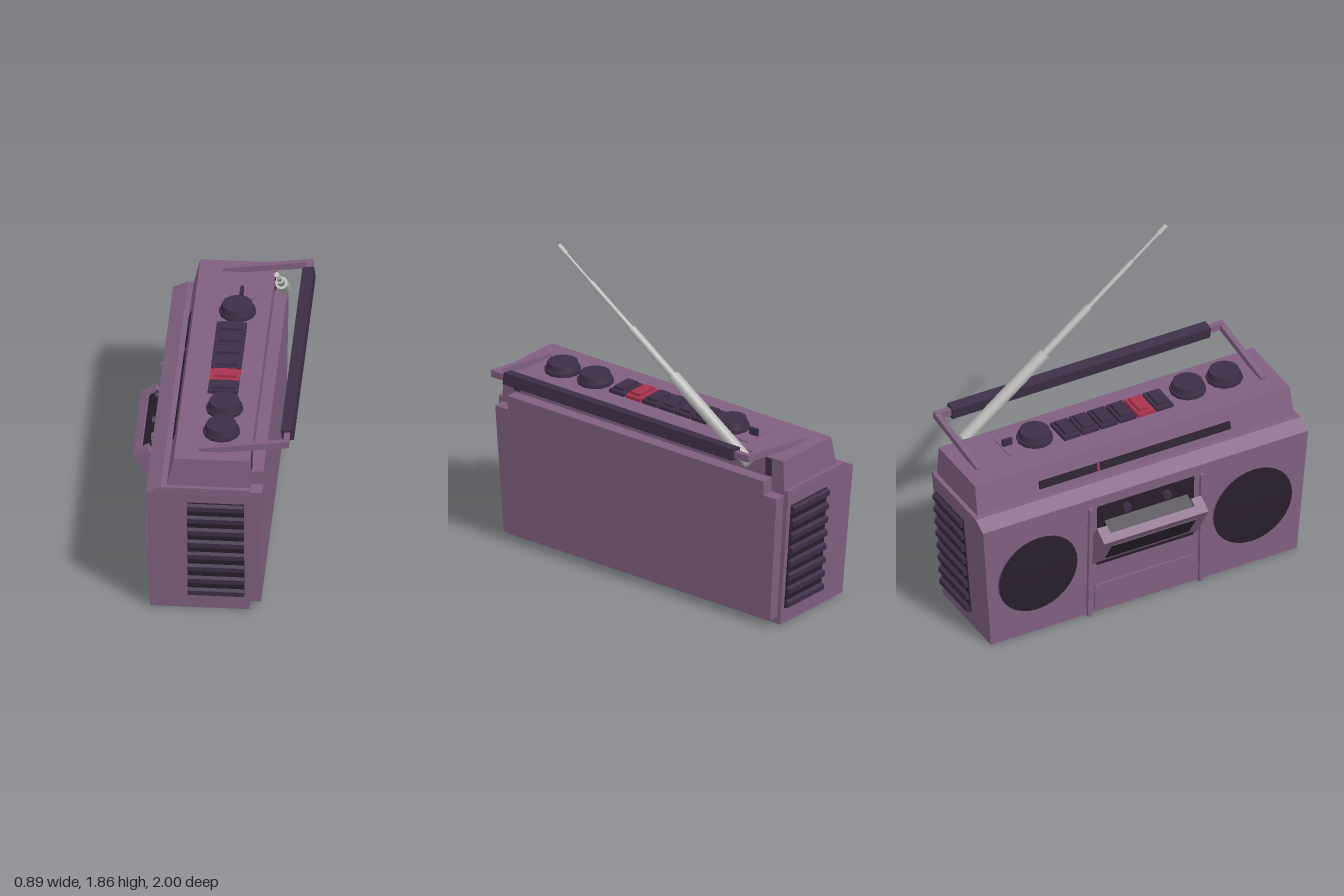
import * as THREE from 'three';

const mat = (name, color) => {
  const m = new THREE.MeshStandardMaterial({ color });
  m.name = name;
  return m;
};

export function createModel() {
  const purple = mat('mauve case', 0x806080);
  const dark = mat('dark plum', 0x3d2e46);
  const black = mat('grille black', 0x281e2b);
  const red = mat('record red', 0xa8324e);
  const grey = mat('aerial grey', 0xb4b3b2);

  const model = new THREE.Group();
  model.name = 'portableStereo';

  const group = (name, parent = model) => {
    const g = new THREE.Group();
    g.name = name;
    parent.add(g);
    return g;
  };
  const add = (name, geo, material, parent = model, x = 0, y = 0, z = 0) => {
    const m = new THREE.Mesh(geo, material);
    m.name = name;
    m.position.set(x, y, z);
    parent.add(m);
    return m;
  };
  const box = (name, w, h, d, material, x, y, z, parent) =>
    add(name, new THREE.BoxGeometry(w, h, d), material, parent, x, y, z);
  // flat profile given a depth, centred on that depth
  const slab = (points, depth) => {
    const s = new THREE.Shape(points.map(([a, b]) => new THREE.Vector2(a, b)));
    return new THREE.ExtrudeGeometry(s, { depth, bevelEnabled: false }).translate(0, 0, -depth / 2);
  };
  // stack of rectangular sections [y, xMin, xMax, half length]
  const loft = (rings) => {
    const pos = [];
    const corners = rings.map(([y, a, b, z]) => [[a, y, z], [b, y, z], [b, y, -z], [a, y, -z]]);
    const quad = (a, b, c, d) => pos.push(...a, ...b, ...c, ...a, ...c, ...d);
    for (let i = 0; i < rings.length - 1; i++) {
      for (let j = 0; j < 4; j++) {
        const k = (j + 1) % 4;
        quad(corners[i][j], corners[i][k], corners[i + 1][k], corners[i + 1][j]);
      }
    }
    const t = corners[rings.length - 1];
    quad(t[0], t[1], t[2], t[3]);
    const b = corners[0];
    quad(b[3], b[2], b[1], b[0]);
    const g = new THREE.BufferGeometry();
    g.setAttribute('position', new THREE.Float32BufferAttribute(pos, 3));
    g.computeVertexNormals();
    return g;
  };

  // case
  add('caseBody', loft([[0, -0.31, 0.215, 0.92], [0.75, -0.33, 0.22, 0.977], [0.79, -0.25, 0.22, 0.977]]), purple);
  add('controlDeck', loft([[0.77, -0.225, 0.22, 0.953], [0.955, -0.183, 0.22, 0.945]]), purple);

  // back panel, notched at its upper corners
  const half = [[0.9, 0.04], [0.95, 0.76], [0.865, 0.76], [0.865, 0.84]];
  const outline = [...half, ...half.map(([a, b]) => [-a, b]).reverse()];
  const back = add('backPanel', slab(outline, 0.07), purple, model, 0.24, 0, 0);
  back.rotation.order = 'ZYX';
  back.rotation.set(0, Math.PI / 2, -0.012);

  // front panel parts, leaning with the case front
  const front = group('frontPanel');
  front.position.x = -0.31;
  front.rotation.z = 0.0267;
  const ring = [[0.238, 0], [0.238, 0.012], [0.26, 0.016], [0.275, 0]].map((p) => new THREE.Vector2(...p)).reverse();
  const dome = [[0.238, 0.004], [0.15, 0.011], [0, 0.014]].map((p) => new THREE.Vector2(...p));
  for (const s of [-1, 1]) {
    const speaker = group(s > 0 ? 'leftSpeaker' : 'rightSpeaker', front);
    speaker.position.set(0, 0.38, s * 0.645);
    speaker.rotation.z = Math.PI / 2;
    const ringMat = add('speakerRing', new THREE.LatheGeometry(ring.slice().reverse(), 32), purple, speaker);
    ringMat.geometry.scale(1, 1, 1);
    add('speakerGrille', new THREE.LatheGeometry(dome, 32), black, speaker);
    box('frontTrim', 0.03, 0.7, 0.022, purple, -0.004, 0.345, s * 0.335, front);
  }
  box('tapeBay', 0.008, 0.38, 0.58, black, -0.002, 0.5, 0, front);
  box('lowerPlate', 0.02, 0.15, 0.6, purple, 0, 0.105, 0, front);
  for (const z of [-0.12, 0.12]) {
    const spindle = add('spindle', new THREE.CylinderGeometry(0.025, 0.025, 0.03, 10), dark, front, -0.015, 0.64, z);
    spindle.rotation.z = Math.PI / 2;
  }

  // tape door swung open on its lower edge
  const door = group('tapeDoor');
  door.position.set(-0.32, 0.32, 0);
  door.rotation.z = 0.554;
  box('doorFront', 0.05, 0.247, 0.626, purple, 0.025, 0.1235, 0, door);
  for (const s of [-1, 1]) box('doorSide', 0.05, 0.247, 0.06, purple, 0.072, 0.1235, s * 0.283, door);
  box('cassette', 0.085, 0.225, 0.5, black, 0.0925, 0.1225, 0, door);
  box('doorWindow', 0.008, 0.15, 0.5, black, -0.001, 0.12, 0, door);

  // tuner strip on the sloping front of the deck
  const tuner = group('tuner');
  tuner.position.set(-0.207, 0.85, 0);
  tuner.rotation.z = -0.223;
  box('tunerStrip', 0.009, 0.045, 1.15, black, -0.001, 0, 0, tuner);
  box('tunerNeedle', 0.009, 0.045, 0.014, red, -0.003, 0, -0.22, tuner);

  // ribbed side vents
  for (const s of [-1, 1]) {
    const vent = group(s > 0 ? 'leftVent' : 'rightVent');
    vent.position.z = s * 0.92;
    vent.rotation.x = s * 0.073;
    box('ventPlate', 0.3, 0.61, 0.016, black, 0.04, 0.395, 0, vent);
    for (let i = 0; i < 8; i++) {
      const rib = slab([[-0.028, 0], [-0.014, -0.03], [0.014, -0.03], [0.028, 0]].reverse(), 0.3);
      rib.rotateZ(Math.PI / 2).rotateY(s > 0 ? -Math.PI / 2 : Math.PI / 2);
      rib.rotateY(Math.PI);
      // lay the rib along x with its ridge outward
      const mesh = box('ventRib', 0.3, 0.026, 0.034, dark, 0.04, 0.115 + i * 0.08, s * 0.011, vent);
      mesh.geometry = taperRib(0.3, s);
    }
  }

  // top controls
  for (const z of [-0.46, 0.46, 0.68]) {
    const knob = group('knob');
    knob.position.set(0.05, 0.955, z);
    add('knobBase', new THREE.CylinderGeometry(0.098, 0.098, 0.02, 12).toNonIndexed(), dark, knob, 0, 0.01);
    add('knobCap', new THREE.CylinderGeometry(0.082, 0.09, 0.038, 12).toNonIndexed(), dark, knob, 0, 0.037);
  }
  for (let i = 0; i < 6; i++) {
    const z = -0.285 + i * 0.111;
    const colour = i === 4 ? red : dark;
    box('buttonBase', 0.16, 0.02, 0.1, colour, 0.03, 0.965, z);
    box('buttonCap', 0.12, 0.02, 0.065, colour, 0.03, 0.981, z);
  }
  box('switchPlate', 0.18, 0.008, 0.07, purple, 0.06, 0.957, -0.62);
  box('switchTab', 0.018, 0.045, 0.055, dark, 0.06, 0.977, -0.62);

  // carrying handle
  const handle = group('handle');
  for (const s of [-1, 1]) {
    const arm = [[-0.06, 0.95], [0.06, 0.955], [0.42, 1], [0.42, 1.038], [-0.06, 0.972]];
    add('handleArm', slab(arm, 0.03), purple, handle, 0, 0, s * 0.855);
    box('handleCorner', 0.03, 0.038, 0.1, purple, 0.405, 1.017, s * 0.815, handle);
    box('handlePivot', 0.008, 0.1, 0.04, dark, 0.221, 0.9, s * 0.85, handle);
  }
  const grip = box('handleGrip', 0.062, 0.065, 1.55, dark, 0.405, 1.017, 0, handle);
  grip.rotation.z = 0.14;

  // telescopic aerial
  const aerial = group('aerial');
  const foot = new THREE.Vector3(0.275, 0.915, -0.765);
  const tip = new THREE.Vector3(0.328, 1.84, 0.485);
  aerial.position.copy(foot);
  const dir = tip.clone().sub(foot);
  const len = dir.length();
  aerial.quaternion.setFromUnitVectors(new THREE.Vector3(0, 1, 0), dir.normalize());
  for (const [a, b, r] of [[0, 0.4, 0.034], [0.4, 0.62, 0.021], [0.62, 0.83, 0.013], [0.83, 0.97, 0.008], [0.96, 1, 0.014]]) {
    add('aerialSection', new THREE.CylinderGeometry(r, r, (b - a) * len, 12), grey, aerial, 0, ((a + b) / 2) * len, 0);
  }
  return model;
}

// box narrowed on its outer face
function taperRib(length, side) {
  const g = new THREE.BoxGeometry(length, 0.056, 0.034).toNonIndexed();
  const p = g.attributes.position;
  for (let i = 0; i < p.count; i++) if (p.getZ(i) * side > 0) p.setY(i, p.getY(i) * 0.5);
  g.computeVertexNormals();
  return g;
}
